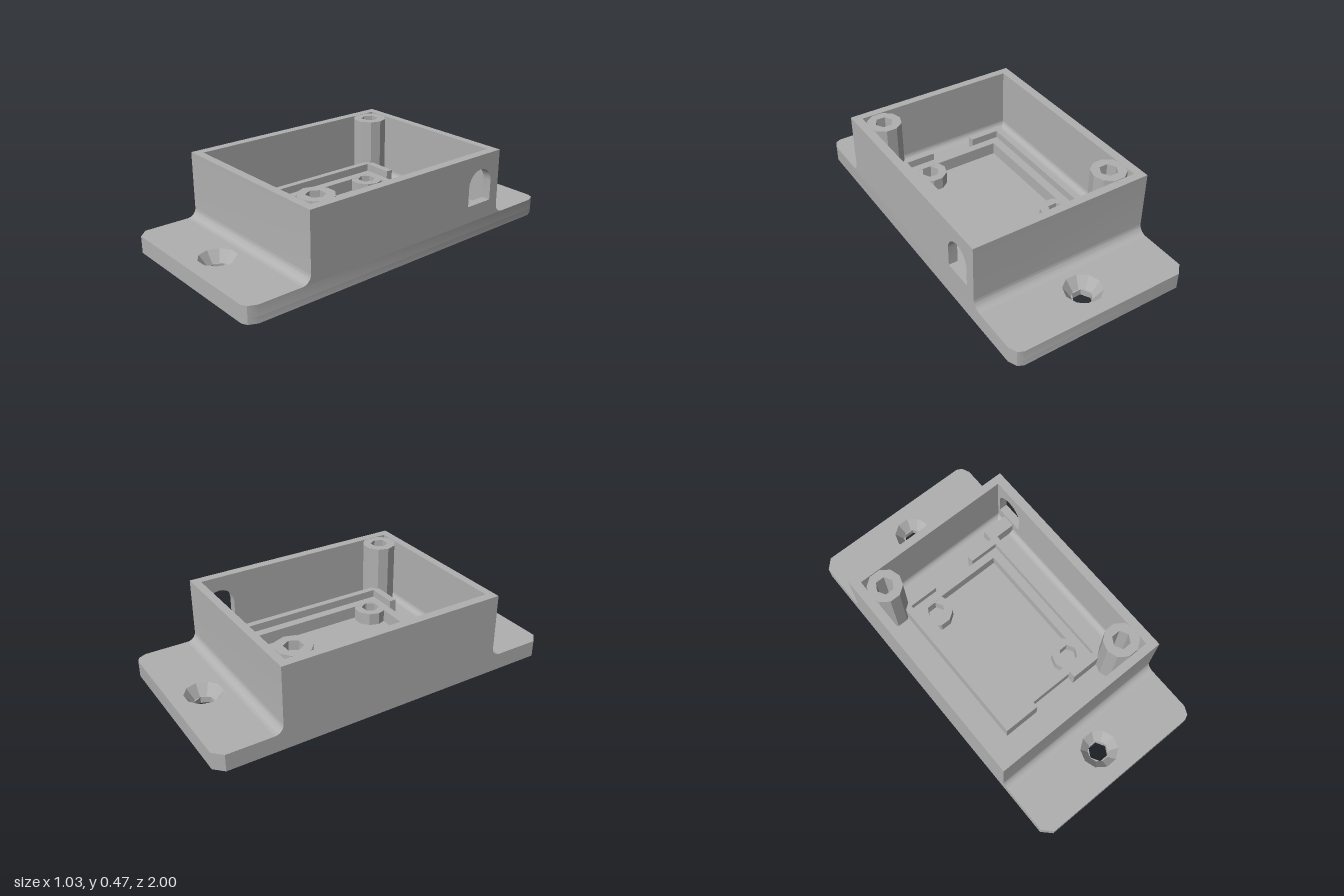
import * as THREE from 'three';
import { toCreasedNormals } from 'three/addons/utils/BufferGeometryUtils.js';

const W = 0.515, IW = 0.465;      // outer and inner half widths
const L = 0.645, IL = 0.6;        // outer and inner half lengths of the box
const FLOOR = 0.095, TOP = 0.465; // plate top and rim height
const HOLE_Z = 0.825;             // mounting hole position

export function createModel() {
  const group = new THREE.Group();
  const grey = new THREE.MeshStandardMaterial({ color: 0xb0b0b0 });

  const add = (name, geometry) => {
    const mesh = new THREE.Mesh(toCreasedNormals(geometry, 0.5), grey);
    mesh.name = name;
    group.add(mesh);
    return mesh;
  };
  const extrude = (shape, depth) =>
    new THREE.ExtrudeGeometry(shape, { depth, bevelEnabled: false, curveSegments: 6 });
  // plan outline (x, -z) raised from y0 to y1
  const raise = (shape, y0, y1) => extrude(shape, y1 - y0).rotateX(-Math.PI / 2).translate(0, y0, 0);
  // side profile (-z, y) swept from x0 to x1
  const sweep = (shape, x0, x1) => extrude(shape, x1 - x0).rotateY(Math.PI / 2).translate(x0, 0, 0);

  const polygon = (x, z, r, n) => Array.from({ length: n }, (_, i) => {
    const a = (i / n) * Math.PI * 2;
    return new THREE.Vector2(x + r * Math.cos(a), -z + r * Math.sin(a));
  });
  const rect = (x0, x1, y0, y1) => [[x0, y0], [x1, y0], [x1, y1], [x0, y1]]
    .map(([x, y]) => new THREE.Vector2(x, y));

  // Mounting plate with cut corners: straight layer below, countersunk layer above
  const outline = [[-0.465, -1], [0.465, -1], [0.495, -0.985], [W, -0.94], [W, 0.94], [0.495, 0.985],
    [0.465, 1], [-0.465, 1], [-W, 0.95], [-W, -0.95]].map(([x, y]) => new THREE.Vector2(x, y));
  const plate = (radius, sides) => {
    const shape = new THREE.Shape(outline);
    for (const s of [-1, 1]) shape.holes.push(new THREE.Path(polygon(0, s * HOLE_Z, radius, sides)));
    return shape;
  };
  const SINK = 0.035;
  add('plateBottom', raise(plate(0.055, 6), 0, SINK));
  const upper = raise(plate(0.102, 10), SINK, FLOOR);
  const pos = upper.attributes.position;
  for (let i = 0; i < pos.count; i++) {
    const x = pos.getX(i), cz = Math.sign(pos.getZ(i)) * HOLE_Z, dz = pos.getZ(i) - cz;
    if (pos.getY(i) < SINK + 0.001 && Math.hypot(x, dz) < 0.11) {
      pos.setX(i, x * 0.56);
      pos.setZ(i, cz + dz * 0.56);
    }
  }
  add('plateTop', upper);

  // End walls with a rounded foot on the outside
  const r = 0.05;
  const endProfile = new THREE.Shape();
  endProfile.moveTo(IL, FLOOR);
  endProfile.lineTo(L + r, FLOOR);
  endProfile.absarc(L + r, FLOOR + r, r, -Math.PI / 2, -Math.PI, true);
  endProfile.lineTo(L, TOP);
  endProfile.lineTo(IL, TOP);
  add('backWall', sweep(endProfile, -W, W));
  add('frontWall', sweep(endProfile, -W, W)).rotation.y = Math.PI;

  // Side walls, the left one with an arched cable opening
  const side = () => new THREE.Shape(rect(-IL, IL, FLOOR, TOP));
  const leftSide = side();
  const arch = new THREE.Path();
  arch.moveTo(0.415, 0.19);
  arch.lineTo(0.585, 0.19);
  arch.lineTo(0.585, 0.3);
  arch.absarc(0.5, 0.3, 0.085, 0, Math.PI, false);
  arch.lineTo(0.415, 0.19);
  leftSide.holes.push(arch);
  add('leftWall', sweep(leftSide, IW, W));
  add('rightWall', sweep(side(), -W, -IW));

  // Concave fillets where the inner walls meet the floor
  const fillet = (half) => {
    const f = 0.035, s = new THREE.Shape();
    s.moveTo(half, FLOOR);
    s.lineTo(half, FLOOR + f);
    s.absarc(half - f, FLOOR + f, f, 0, -Math.PI / 2, true);
    s.lineTo(half, FLOOR);
    return s;
  };
  for (let i = 0; i < 4; i++) {
    const across = i % 2 === 0;
    const length = across ? IW : IL;
    add('floorFillet', sweep(fillet(across ? IL : IW), -length, length)).rotation.y = (i * Math.PI) / 2;
  }

  // Board ledge, and the raised lip around it with a gap at each end
  const ledge = new THREE.Shape(rect(-0.3, 0.3, -0.418, 0.422));
  ledge.holes.push(new THREE.Path(rect(-0.25, 0.25, -0.372, 0.378)));
  add('boardLedge', raise(ledge, FLOOR, 0.167));
  for (const s of [-1, 1]) {
    const points = [[0.13, -0.458], [0.337, -0.458], [0.337, 0.462], [0.13, 0.462],
      [0.13, 0.422], [0.3, 0.422], [0.3, -0.418], [0.13, -0.418]];
    add('boardLip', raise(new THREE.Shape(points.map(([x, y]) => new THREE.Vector2(s * x, y))), FLOOR, 0.21));
  }

  // Hollow screw posts: tall ones in two corners, short ones on the ledge
  const post = (name, x, z, radius, top) => {
    const shape = new THREE.Shape(polygon(x, z, radius, 10));
    shape.holes.push(new THREE.Path(polygon(x, z, 0.05, 6)));
    add(name, raise(shape, FLOOR, top));
  };
  for (const s of [-1, 1]) {
    post('lidPost', s * 0.38, s * 0.505, 0.096, TOP - 0.001);
    post('boardPost', s * 0.203, s * 0.328, 0.092, 0.166);
  }

  // Small cable rest inside the opening
  add('cableRest', raise(new THREE.Shape(rect(0.31, IW, 0.467, 0.542)), FLOOR, 0.17));

  return group;
}
